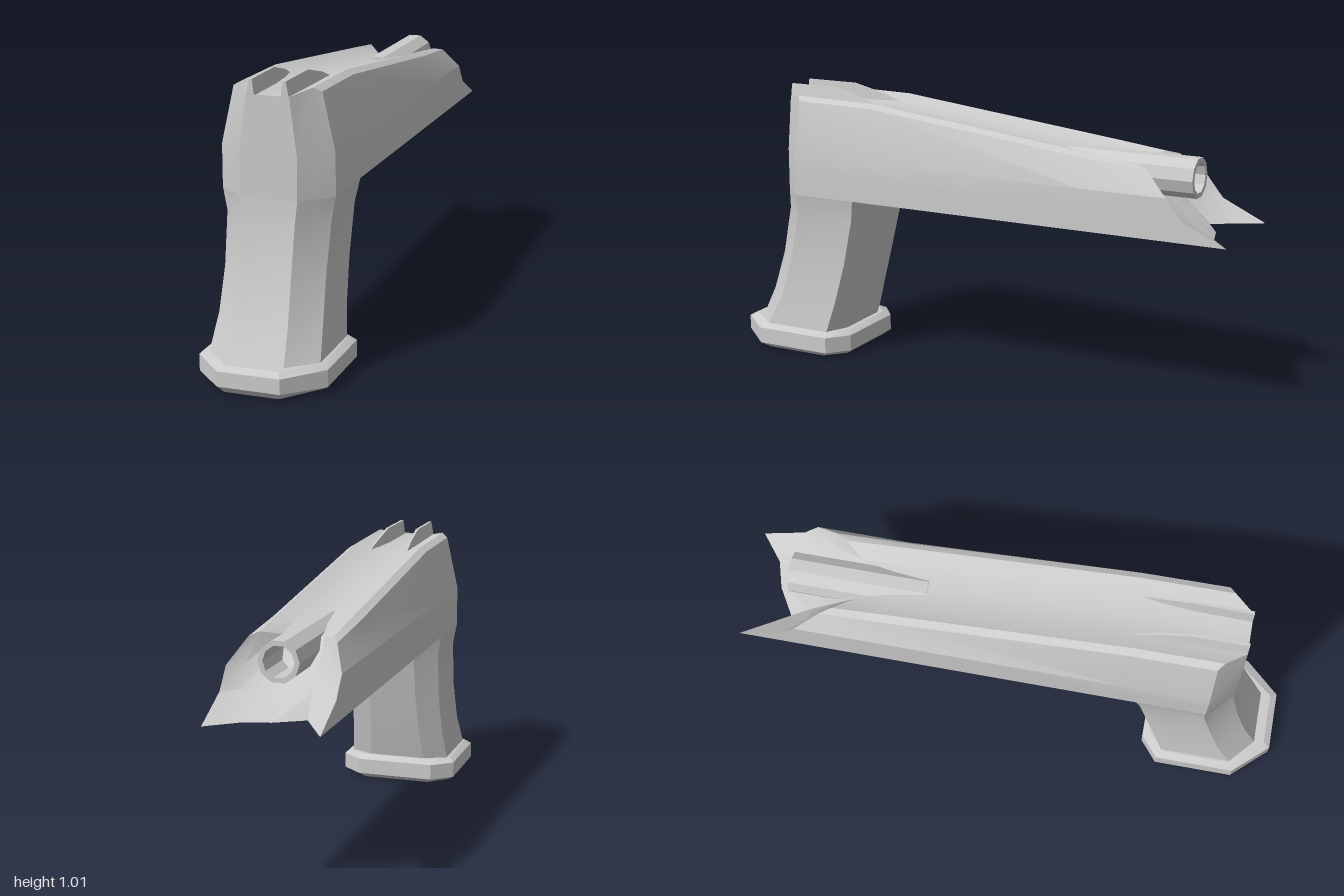
import * as THREE from 'three';
import { toCreasedNormals } from 'three/addons/utils/BufferGeometryUtils.js';

const material = new THREE.MeshStandardMaterial({ color: 0xcccccc, side: THREE.DoubleSide });

// Skin a list of point rows; closed rows wrap around and get end caps.
function loft(name, rows, closed = true, capStart = closed, capEnd = closed) {
  const pos = [];
  const tri = (a, b, c) => pos.push(...a, ...b, ...c);
  const n = rows[0].length;
  for (let i = 0; i < rows.length - 1; i++) {
    for (let j = 0; j < (closed ? n : n - 1); j++) {
      const k = (j + 1) % n;
      tri(rows[i][j], rows[i][k], rows[i + 1][k]);
      tri(rows[i][j], rows[i + 1][k], rows[i + 1][j]);
    }
  }
  const cap = (row, flip) => {
    const mid = [0, 1, 2].map((c) => row.reduce((s, p) => s + p[c], 0) / n);
    row.forEach((p, j) => {
      const q = row[(j + 1) % n];
      flip ? tri(mid, q, p) : tri(mid, p, q);
    });
  };
  if (capStart) cap(rows[0], true);
  if (capEnd) cap(rows[rows.length - 1], false);
  const geo = new THREE.BufferGeometry();
  geo.setAttribute('position', new THREE.Float32BufferAttribute(pos, 3));
  const mesh = new THREE.Mesh(toCreasedNormals(geo, 0.4), material);
  mesh.name = name;
  return mesh;
}

// Mirror the +x half of a horizontal ring (listed front to back).
const mirrorRing = (half) => [
  ...half, ...half.map(([x, y, z]) => [-x, y, z]).reverse(),
];

function createGrip() {
  // y, front flat half width, front z, half width, chamfer z, rear side z, rear z
  const levels = [
    [0.09, 0.1, 0.94, 0.197, 0.855, 0.59, 0.55],
    [0.21, 0.095, 0.885, 0.185, 0.795, 0.555, 0.515],
    [0.36, 0.09, 0.84, 0.18, 0.75, 0.515, 0.475],
    [0.54, 0.092, 0.805, 0.185, 0.71, 0.475, 0.43],
    [0.62, 0.1, 0.802, 0.2, 0.71, 0.46, 0.41],
  ];
  const ring = ([y, f, zf, w, zc, zb, zr]) => mirrorRing([
    [f, y, zf], [f + (w - f) * 0.65, y, zf + (zc - zf) * 0.65],
    [w, y, zc], [w, y, zb], [w - 0.085, y, zr],
  ]);
  return loft('grip', levels.map(ring));
}

function createFrontPlate() {
  // Faceted front that continues the grip up to the top of the body
  const ring = (y) => mirrorRing([
    [0.1, y, 0.802], [0.165, y, 0.742], [0.2, y, 0.71], [0.1, y, 0.69],
  ]);
  const top = mirrorRing([
    [0.075, 0.965, 0.802], [0.13, 0.985, 0.73], [0.155, 0.97, 0.71], [0.075, 0.94, 0.69],
  ]);
  return loft('frontPlate', [ring(0.62), ring(0.77), top], true, true, false);
}

function createBasePlate() {
  const ring = (y, s, tilt) => mirrorRing([
    [0.11, y + tilt, 1], [0.228, y, 0.87], [0.228, y, 0.575], [0.15, y, 0.51],
  ].map(([x, py, z]) => [
    x - s * Math.min(1, x / 0.2), py, z + (z > 0.75 ? -s : s),
  ]));
  return loft('basePlate', [
    ring(0, 0.027, 0), ring(0.02, 0, 0.007), ring(0.08, 0, 0), ring(0.095, 0.025, 0),
  ]);
}

// End edge of the body roof and the lower corners, from -x to +x
const roofX = [-0.155, -0.13, -0.075, 0, 0.075, 0.13, 0.155];
const roofDrop = [0.015, 0, 0.02, 0.03, 0.02, 0, 0.015];
const roofEnd = [
  [-0.155, 0.85, -0.69], [-0.13, 0.86, -0.65], [-0.075, 0.84, -0.58], [0, 0.835, -0.57],
  [0.075, 0.84, -0.58], [0.13, 0.86, -0.65], [0.155, 0.85, -0.69],
];

function createBody() {
  const section = (z, t) => [
    ...roofX.map((x, i) => [x, t - roofDrop[i], z]),
    [0.2, 0.77, z], [0.2, 0.695, z], [0.2, 0.62, z], [0.1, 0.62, z], [0, 0.62, z],
    [-0.1, 0.62, z], [-0.2, 0.62, z], [-0.2, 0.695, z], [-0.2, 0.77, z],
  ];
  const front = section(0.71, 0.985);
  [0.71, 0.73, 0.802, 0.802, 0.802, 0.73, 0.71].forEach((z, i) => { front[i][2] = z; });
  const end = [
    ...roofEnd,
    [0.2, 0.77, -0.78], [0.2, 0.695, -0.84], [0.2, 0.62, -1], [0.1, 0.62, -0.92],
    [0, 0.62, -0.89], [-0.1, 0.62, -0.83], [-0.2, 0.62, -1], [-0.2, 0.695, -0.84],
    [-0.2, 0.77, -0.78],
  ];
  return loft('body', [front, section(0.4, 0.98), section(-0.45, 0.884), end], true, false, false);
}

function createScoopedEnd() {
  const row = (y, xs, zs) => xs.map((x, i) => [x, y, zs[i]]);
  const xs = [-0.2, -0.15, -0.09, 0, 0.09, 0.15, 0.2];
  return loft('scoopedEnd', [
    roofEnd,
    row(0.77, xs, [-0.78, -0.73, -0.68, -0.66, -0.68, -0.73, -0.78]),
    row(0.695, xs, [-0.84, -0.79, -0.755, -0.76, -0.77, -0.8, -0.84]),
    row(0.62, [-0.2, -0.15, -0.1, 0, 0.1, 0.15, 0.2],
      [-1, -0.915, -0.83, -0.89, -0.92, -0.96, -1]),
  ], false);
}

function createPipe() {
  // Hollow pipe breaking through the sloping roof
  const ring = (r, z) => Array.from({ length: 10 }, (_, i) => {
    const a = Math.PI * (0.5 - (i + 0.5) / 5);
    return [r * Math.cos(a), 0.805 + r * Math.sin(a), z];
  });
  return loft('pipe', [
    ring(0.073, -0.33), ring(0.073, -0.825), ring(0.055, -0.825), ring(0.055, -0.5),
  ]);
}

function createSight(side) {
  // z, top y, inner and outer x at the top, inner and outer x at the foot
  const steps = [
    [0.802, 1.015, 0.053, 0.064, 0.044, 0.077],
    [0.6, 1.015, 0.055, 0.065, 0.048, 0.079],
    [0.48, 0.985, 0.062, 0.07, 0.058, 0.079],
    [0.4, 0.955, 0.072, 0.075, 0.07, 0.078],
  ];
  const rows = steps.map(([z, y, a, b, c, d]) => {
    const r = [[c, 0.945, z], [a, y, z], [b, y, z], [d, 0.945, z]];
    return side > 0 ? r : r.map(([x, py, pz]) => [-x, py, pz]).reverse();
  });
  return loft(side > 0 ? 'leftSightBlade' : 'rightSightBlade', rows);
}

export function createModel() {
  const model = new THREE.Group();
  model.name = 'gripAndBody';
  model.add(
    createBasePlate(), createGrip(), createFrontPlate(), createBody(),
    createScoopedEnd(), createPipe(), createSight(1), createSight(-1),
  );
  return model;
}
